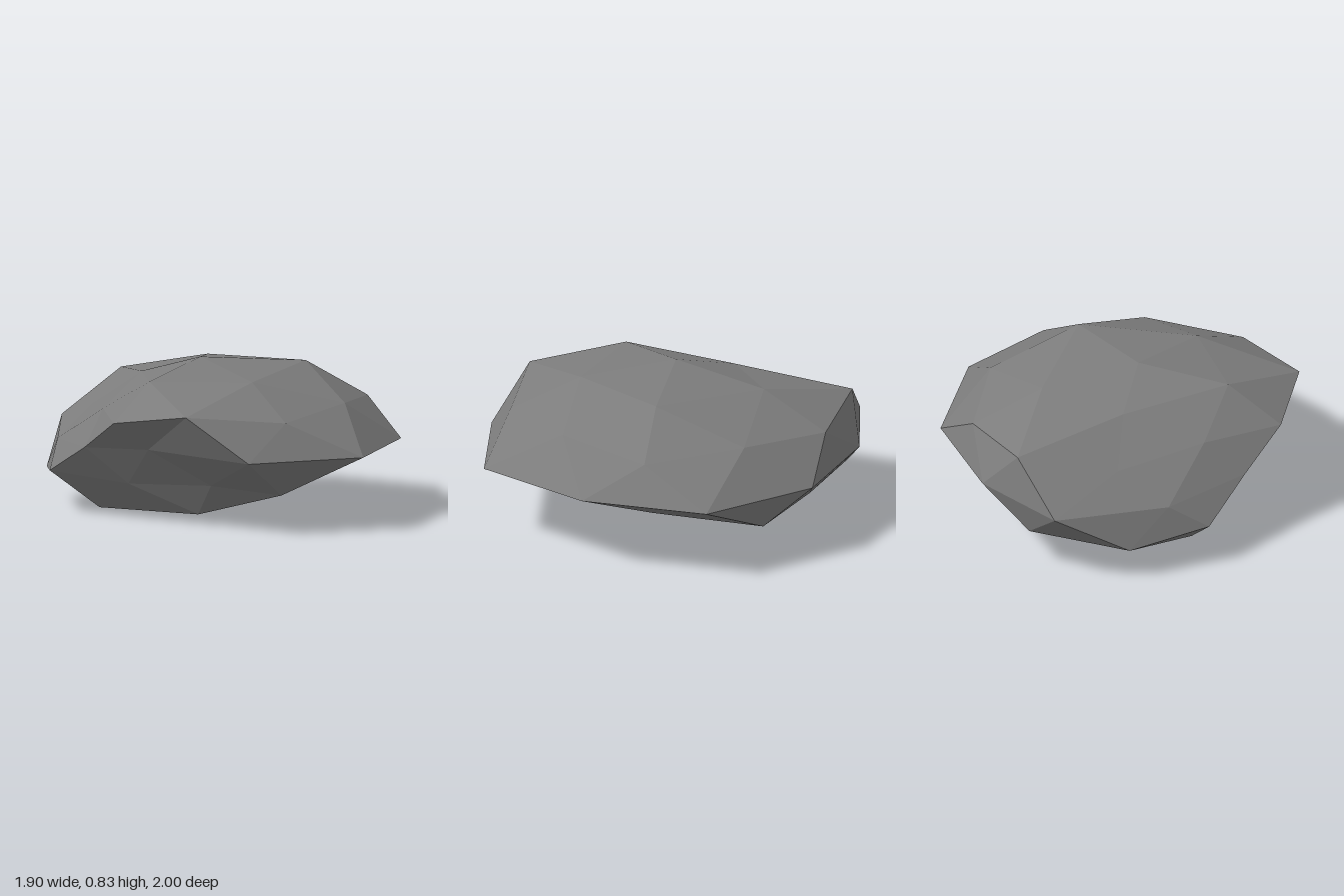
import * as THREE from 'three';

// Rings of the faceted stone, from top to bottom, each running from +x towards +z.
const top = [-0.14, 0.83, 0];
const crown = [[0.44, 0.79, 0], [0.03, 0.76, 0.49], [-0.5, 0.76, 0.34], [-0.4, 0.72, -0.27], [0.02, 0.76, -0.51]];
const shoulder = [[0.78, 0.59, 0], [0.13, 0.59, 0.85], [-0.74, 0.57, 0.52], [-0.62, 0.53, -0.45], [0.15, 0.59, -0.87]];
const shoulderMid = [[0.54, 0.63, 0.49], [-0.42, 0.64, 0.85], [-0.69, 0.58, 0.06], [-0.36, 0.64, -0.92], [0.54, 0.63, -0.5]];
const girdle = [
  [0.89, 0.4, 0.32], [0.54, 0.4, 0.92], [-0.11, 0.4, 1], [-0.55, 0.42, 0.52], [-0.83, 0.4, 0.23],
  [-0.86, 0.37, -0.28], [-0.69, 0.4, -0.9], [-0.14, 0.4, -1], [0.48, 0.4, -0.86], [0.95, 0.4, -0.37],
];
const belly = [[0.45, 0.27, 0.41], [-0.23, 0.23, 0.63], [-0.95, 0.23, -0.08], [-0.43, 0.21, -0.89], [0.63, 0.22, -0.62]];
const bellyMid = [[0.12, 0.19, 0.79], [-0.6, 0.2, 0.27], [-0.86, 0.18, -0.53], [0.07, 0.2, -0.77], [0.6, 0.24, -0.01]];
const foot = [[0.18, 0.11, 0.25], [-0.26, 0.05, 0.46], [-0.69, 0.03, -0.02], [-0.33, 0.01, -0.56], [0.16, 0.1, -0.37]];
const bottom = [-0.19, 0, -0.03];

export function createModel() {
  const positions = [];
  const tri = (a, b, c) => positions.push(...a, ...c, ...b);
  // One large facet split in four through its edge points
  const facet = (a, b, c, ab, bc, ca) => {
    tri(a, ab, ca);
    tri(ab, b, bc);
    tri(ca, bc, c);
    tri(ab, bc, ca);
  };

  // Five sectors, four large facets each
  for (let k = 0; k < 5; k++) {
    const n = (k + 1) % 5;
    const g0 = girdle[2 * k], g1 = girdle[2 * k + 1], g2 = girdle[(2 * k + 2) % 10];
    facet(top, shoulder[k], shoulder[n], crown[k], shoulderMid[k], crown[n]);
    facet(shoulder[k], belly[k], shoulder[n], g0, g1, shoulderMid[k]);
    facet(belly[k], belly[n], shoulder[n], bellyMid[k], g2, g1);
    facet(bottom, belly[n], belly[k], foot[n], bellyMid[k], foot[k]);
  }

  const geometry = new THREE.BufferGeometry();
  geometry.setAttribute('position', new THREE.Float32BufferAttribute(positions, 3));
  geometry.computeVertexNormals();

  const stoneGrey = new THREE.MeshStandardMaterial({ color: 0x7c7c7c, flatShading: true });
  stoneGrey.name = 'stoneGrey';

  const rock = new THREE.Mesh(geometry, stoneGrey);
  rock.name = 'rock';
  const model = new THREE.Group();
  model.name = 'boulder';
  model.add(rock);
  return model;
}
